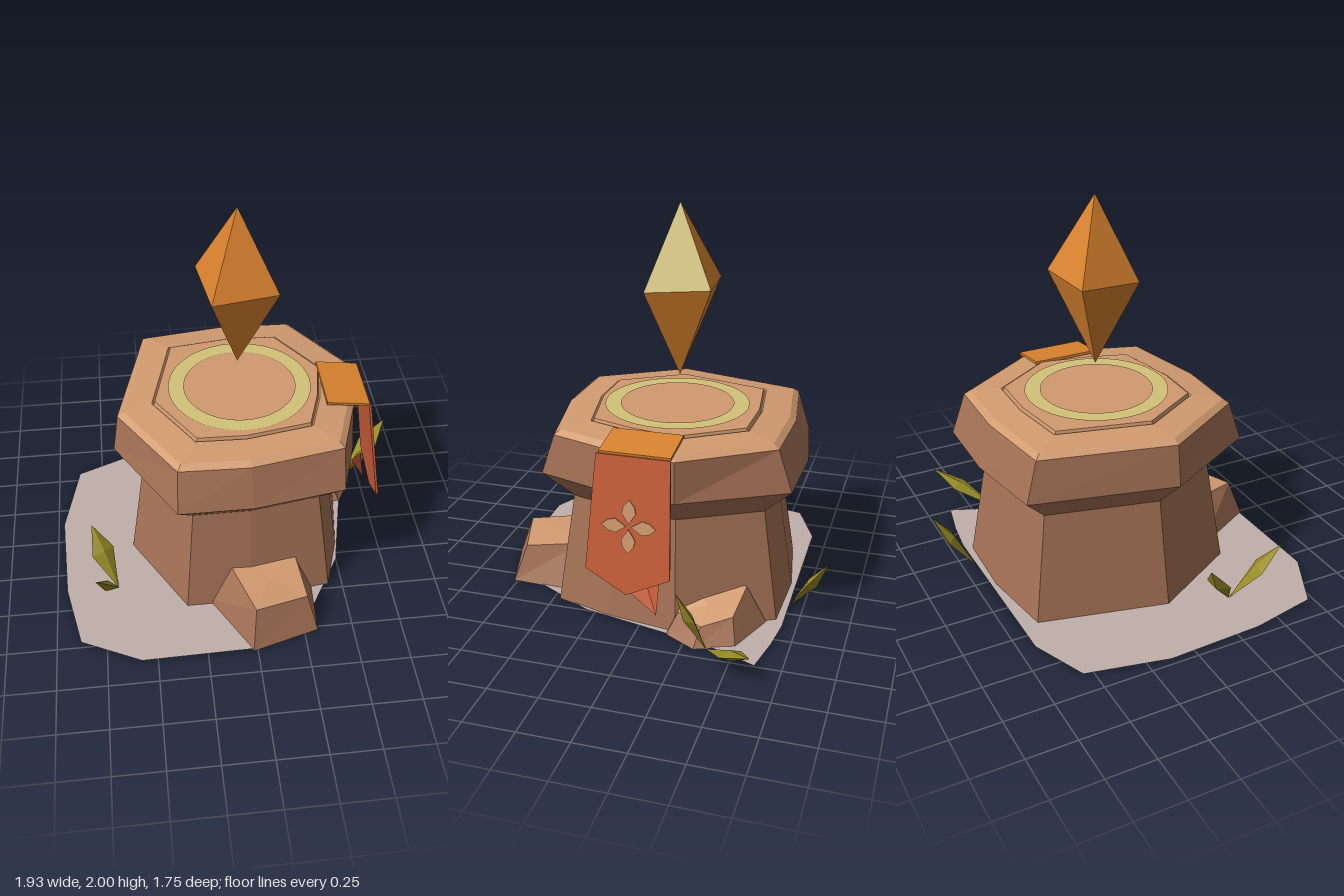
import * as THREE from 'three';
import { ConvexGeometry } from 'three/addons/geometries/ConvexGeometry.js';

const mat = (name, color, side = THREE.FrontSide) => {
  const m = new THREE.MeshStandardMaterial({ color, side, flatShading: true });
  m.name = name;
  return m;
};

// Flat-faced mesh from a list of triangles
function facets(name, tris, material) {
  const g = new THREE.BufferGeometry();
  g.setAttribute('position', new THREE.Float32BufferAttribute(tris.flat(2), 3));
  g.computeVertexNormals();
  return named(name, g, material);
}

function named(name, geometry, material) {
  const m = new THREE.Mesh(geometry, material);
  m.name = name;
  return m;
}

// Side walls through a stack of rings, each listed left, front, right, back
function walls(rings) {
  const tris = [];
  for (let r = 0; r + 1 < rings.length; r++) {
    const lo = rings[r], hi = rings[r + 1], n = lo.length;
    for (let i = 0; i < n; i++) {
      const j = (i + 1) % n;
      tris.push([lo[i], lo[j], hi[j]], [lo[i], hi[j], hi[i]]);
    }
  }
  return tris;
}

function cap(ring, up = true) {
  const n = ring.length;
  const c = [0, 1, 2].map(k => ring.reduce((s, p) => s + p[k], 0) / n);
  return ring.map((p, i) => {
    const q = ring[(i + 1) % n];
    return up ? [c, p, q] : [c, q, p];
  });
}

export function createModel() {
  const root = new THREE.Group();
  const stone = mat('brown stone', 0xa57256);
  const topStone = mat('light stone', 0xd19a6f);
  const orange = mat('orange', 0xd9822e);
  const pale = mat('pale yellow', 0xd2c278);
  const red = mat('red cloth', 0xcb5f3a, THREE.DoubleSide);
  const green = mat('olive leaf', 0x988b26);
  const dust = mat('pale dust', 0xbfafaa);

  // Pedestal: uneven nine-sided outlines scaled about its axis
  const CZ = -0.05;
  const wide = [[-0.65, 0.08], [-0.36, 0.6], [0.01, 0.6], [0.47, 0.52], [0.57, 0.2],
    [0.63, -0.2], [0.36, -0.7], [-0.05, -0.71], [-0.48, -0.64]];
  const rim = [[-0.62, 0.08], [-0.35, 0.53], [0, 0.54], [0.47, 0.45], [0.57, 0.14],
    [0.63, -0.2], [0.35, -0.63], [-0.03, -0.64], [-0.46, -0.58]];
  const ring = (outline, s, y) => outline.map(([x, z]) => [x * s, y, CZ + (z - CZ) * s]);
  const lip = ring(rim, 1, 0.93);
  root.add(facets('pedestal', walls([
    ring(wide, 0.91, 0), ring(wide, 0.86, 0.22), ring(wide, 0.78, 0.57),
    ring(wide, 1, 0.72), lip]), stone));

  // Stepped top with a shallow groove
  const plate = ring(rim, 0.69, 0.978);
  root.add(facets('pedestalTop', [
    ...walls([lip, ring(rim, 0.95, 0.953), ring(rim, 0.715, 0.968),
      ring(rim, 0.7, 0.955), plate]),
    ...cap(plate)], topStone));

  const inlay = named('topRing', new THREE.RingGeometry(0.285, 0.365, 40), pale);
  inlay.rotation.x = -Math.PI / 2;
  inlay.position.set(0.01, 0.984, -0.04);
  root.add(inlay);

  // Floating gem, one upper face pale
  const gemRing = [[-0.19, 1.6, -0.21], [-0.14, 1.575, 0.12], [0.19, 1.59, 0.08], [0.14, 1.61, -0.24]];
  const apex = [0, 2, CZ], point = [0, 1.13, CZ];
  const gemFaces = [];
  gemRing.forEach((p, i) => {
    const q = gemRing[(i + 1) % 4];
    gemFaces.push([point, q, p]);
    if (i === 2) root.add(facets('gemShine', [[p, q, apex]], pale));
    else gemFaces.push([p, q, apex]);
  });
  root.add(facets('gem', gemFaces, orange));

  // Rocks leaning on the foot
  const rock = (name, base, top) => {
    root.add(facets(name, walls([base.map(([x, z]) => [x, 0, z]), top]), stone));
    root.add(facets(name + 'Top', cap(top), topStone));
  };
  rock('frontRock',
    [[-0.22, 0.5], [-0.02, 0.87], [0.32, 0.77], [0.34, 0.4]],
    [[-0.12, 0.23, 0.42], [0, 0.21, 0.79], [0.27, 0.19, 0.71], [0.24, 0.23, 0.42]]);
  rock('sideRock',
    [[0.42, -0.14], [0.6, -0.15], [0.69, -0.31], [0.62, -0.5], [0.36, -0.6]],
    [[0.42, 0.2, -0.2], [0.56, 0.11, -0.2], [0.63, 0.09, -0.33], [0.55, 0.12, -0.47], [0.38, 0.2, -0.5]]);

  // Thin ground patch
  const patch = [[-0.97, -0.13], [-0.95, 0.37], [-0.88, 0.72], [-0.58, 0.87], [-0.03, 0.86],
    [0.32, 0.62], [0.5, 0.3], [0.65, -0.37], [0.75, -0.62], [0.55, -0.66], [0.38, -0.68],
    [-0.6, -0.67], [-0.88, -0.55]];
  const patchAt = y => patch.map(([x, z]) => [x, y, z]);
  root.add(facets('groundPatch', cap(patchAt(0.006)), dust));
  root.add(facets('groundUnderside', cap(patchAt(0), false), stone));

  // Banner: flap over the rim, hanging cloth and a torn tail
  const flap = named('bannerFlap', new THREE.BoxGeometry(0.22, 0.014, 0.35), orange);
  flap.position.set(0.54, 0.965, -0.015);
  flap.rotation.z = -0.13;
  root.add(flap);

  const banner = new THREE.Group();
  banner.name = 'banner';
  banner.position.set(0.645, 0.945, 0);
  banner.rotation.z = 0.12;
  const cloth = new THREE.Shape([[-0.17, 0], [-0.21, -0.57], [-0.005, -0.68], [0.205, -0.58], [0.19, 0]]
    .map(p => new THREE.Vector2(...p)));
  const sheet = named('bannerCloth', new THREE.ExtrudeGeometry(cloth, { depth: 0.012, bevelEnabled: false }), red);
  sheet.rotation.y = Math.PI / 2;
  banner.add(sheet);

  // Four-petal ornament
  const petal = new THREE.Shape();
  petal.moveTo(0, 0.012);
  petal.lineTo(0.034, 0.065);
  petal.lineTo(0.027, 0.1);
  petal.lineTo(0, 0.132);
  petal.lineTo(-0.027, 0.1);
  petal.lineTo(-0.034, 0.065);
  for (let i = 0; i < 4; i++) {
    const g = new THREE.ExtrudeGeometry(petal, { depth: 0.006, bevelEnabled: false });
    g.rotateZ(i * Math.PI / 2).translate(0, -0.338, 0.013).rotateY(Math.PI / 2);
    banner.add(named('bannerPetal', g, topStone));
  }
  root.add(banner);
  root.add(facets('bannerTail', [
    [[0.62, 0.44, -0.01], [0.73, 0.18, -0.14], [0.705, 0.36, -0.15]],
    [[0.62, 0.44, -0.01], [0.715, 0.28, 0], [0.73, 0.18, -0.14]]], red));

  // Leaves: narrow faceted blades, widest past the middle
  const leaf = (base, tip, width) => {
    const a = new THREE.Vector3(...base), b = new THREE.Vector3(...tip);
    const dir = b.clone().sub(a).normalize();
    const side = new THREE.Vector3(0, 1, 0).cross(dir).normalize();
    const up = dir.clone().cross(side);
    const mid = a.clone().lerp(b, 0.58);
    const off = (v, d) => mid.clone().addScaledVector(v, d);
    root.add(named('leaf', new ConvexGeometry([a, b, off(side, width), off(side, -width),
      off(up, width * 0.35), off(up, -width * 0.5)]), green));
  };
  const plants = [
    [[-0.68, 0, 0.37], [[-0.8, 0.29, 0.18], [-0.77, 0.31, 0.61]], 0.065],
    [[0.67, 0, -0.37], [[0.96, 0.18, -0.64], [0.79, 0.35, -0.25]], 0.06],
    [[0.17, 0, -0.68], [[0.25, 0.31, -0.88]], 0.065],
  ];
  for (const [base, tips, width] of plants) for (const tip of tips) leaf(base, tip, width);

  return root;
}
